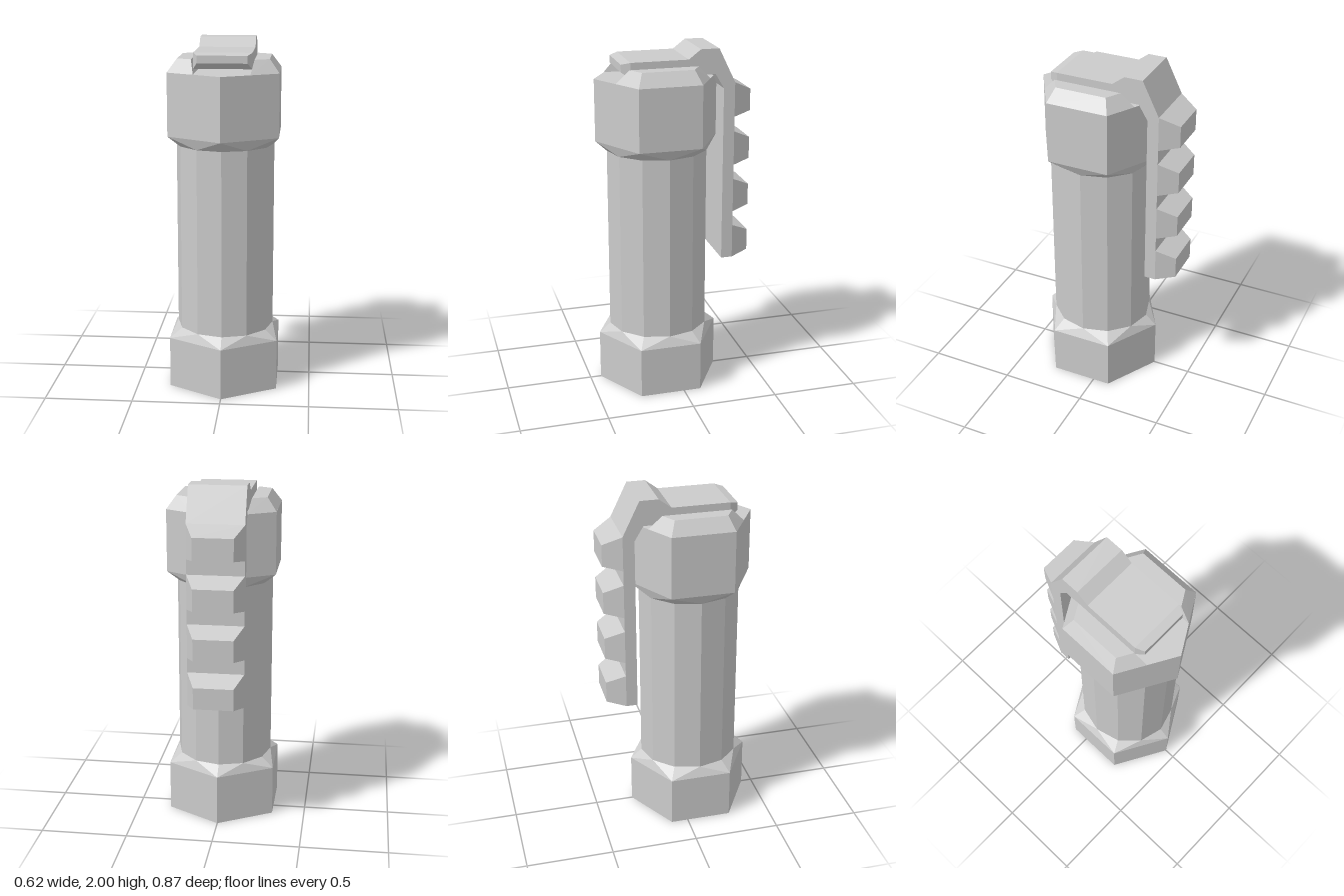
import * as THREE from 'three';
import { ConvexGeometry } from 'three/addons/geometries/ConvexGeometry.js';

const material = new THREE.MeshStandardMaterial({ color: 0xcccccc, flatShading: true });
const AXIS_Z = 0.08; // the canister sits forward of the centre to leave room for the lever
const V = (x, y, z) => new THREE.Vector3(x, y, z);

// Ring of points around the canister axis, first corner at the front
function ring(sides, rx, rz, y) {
  return Array.from({ length: sides }, (_, i) => {
    const a = (i / sides) * Math.PI * 2;
    return V(Math.sin(a) * rx, y, AXIS_Z + Math.cos(a) * rz);
  });
}
const hexRing = (y) => ring(6, 0.357, 0.357, y);
const tubeRing = (y) => ring(12, 0.279, 0.292, y);

// Rectangle across the lever at depth z
function rect(halfWidth, yLow, yHigh, z) {
  return [V(-halfWidth, yLow, z), V(halfWidth, yLow, z), V(halfWidth, yHigh, z), V(-halfWidth, yHigh, z)];
}

export function createModel() {
  const model = new THREE.Group();

  function add(name, geometry, parent = model) {
    const mesh = new THREE.Mesh(geometry, material);
    mesh.name = name;
    parent.add(mesh);
    return mesh;
  }
  const hull = (name, points, parent) => add(name, new ConvexGeometry(points), parent);

  // Hexagonal foot, faceted into the twelve-sided tube
  hull('base', [...hexRing(0), ...hexRing(0.295), ...tubeRing(0.35)]);
  hull('body', [...tubeRing(0.35), ...tubeRing(1.42)]);

  // Hexagonal head, its back corner chamfered under the lever
  const top = hexRing(1.835);
  const back = top[3];
  const chamfer = [top[2], top[4]].map((p) => back.clone().lerp(p, 0.29));
  back.y = 1.775;
  hull('head', [...tubeRing(1.42), ...hexRing(1.48), ...top, ...chamfer]);

  // Bevelled rails on either side of the lever slot
  for (const s of [1, -1]) {
    hull(s > 0 ? 'leftHeadRail' : 'rightHeadRail', [
      V(s * 0.155, 1.835, 0.348), V(s * 0.309, 1.835, 0.258),
      V(s * 0.309, 1.835, -0.098), V(s * 0.155, 1.835, -0.188),
      V(s * 0.173, 1.91, 0.274), V(s * 0.255, 1.91, 0.227),
      V(s * 0.255, 1.91, -0.067), V(s * 0.173, 1.91, -0.114),
    ]);
  }

  // Lever: bent strip over the head and down the back, drawn as (z, y)
  const lever = new THREE.Group();
  lever.name = 'lever';
  model.add(lever);
  const profile = [
    [0.267, 1.947], [-0.06, 1.947], [-0.13, 2], [-0.235, 2], [-0.33, 1.805], [-0.33, 0.762],
    [-0.265, 0.762], [-0.265, 1.775], [-0.215, 1.858], [0.267, 1.858],
  ].map(([z, y]) => new THREE.Vector2(z, y));
  const strip = new THREE.ExtrudeGeometry(new THREE.Shape(profile), { depth: 0.322, bevelEnabled: false });
  strip.rotateY(-Math.PI / 2).translate(0.161, 0, 0);
  add('leverStrip', strip, lever);

  // Tapered front tip of the lever
  hull('leverTip', [...rect(0.161, 1.858, 1.947, 0.267), ...rect(0.138, 1.893, 1.935, 0.315)], lever);

  // Tapered grip teeth down the back
  for (let i = 0; i < 4; i++) {
    const y = 1.805 - i * 0.282;
    hull('gripTooth' + (i + 1), [
      ...rect(0.161, y - 0.197, y, -0.33),
      ...rect(0.113, y - 0.178, y - 0.053, -0.437),
    ], lever);
  }

  return model;
}
